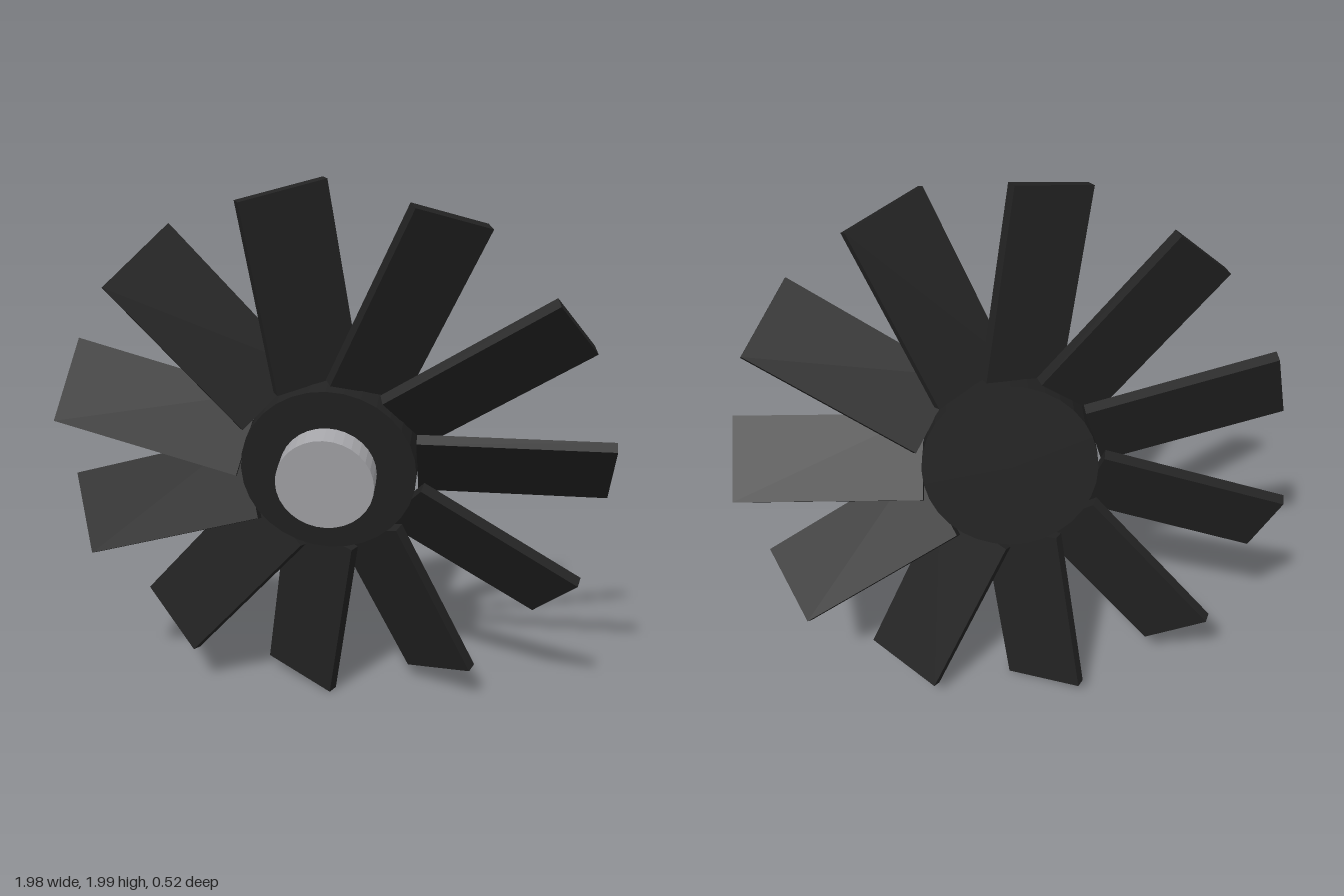
import * as THREE from 'three';

const BLADES = 11;

export function createModel() {
  const black = new THREE.MeshStandardMaterial({ color: 0x222222, flatShading: true });
  black.name = 'black';
  const grey = new THREE.MeshStandardMaterial({ color: 0xa6a6aa, flatShading: true });
  grey.name = 'light grey';

  const model = new THREE.Group();
  model.name = 'fan';

  // Rotor spins around its own z axis and leans forward at the top
  const rotor = new THREE.Group();
  rotor.name = 'rotor';
  rotor.position.y = 1;
  rotor.rotation.x = THREE.MathUtils.degToRad(10);
  model.add(rotor);

  // Disc with its axis along z, between two depths
  const disc = (name, radius, back, front, material) => {
    const geometry = new THREE.CylinderGeometry(radius, radius, front - back, 32);
    geometry.rotateX(Math.PI / 2);
    geometry.translate(0, 0, (front + back) / 2);
    const mesh = new THREE.Mesh(geometry, material);
    mesh.name = name;
    rotor.add(mesh);
  };
  disc('hub', 0.312, -0.095, 0.095, black);
  disc('hubCap', 0.173, 0.09, 0.19, grey);

  // Flat pitched blades around the hub
  const inner = 0.31, outer = 0.988;
  const bladeGeometry = new THREE.BoxGeometry(outer - inner, 0.31, 0.04);
  bladeGeometry.rotateX(THREE.MathUtils.degToRad(30));
  bladeGeometry.translate((inner + outer) / 2, 0, 0);
  for (let i = 0; i < BLADES; i++) {
    const blade = new THREE.Mesh(bladeGeometry, black);
    blade.name = `blade${i + 1}`;
    blade.rotation.z = (i / BLADES) * Math.PI * 2;
    rotor.add(blade);
  }

  return model;
}
